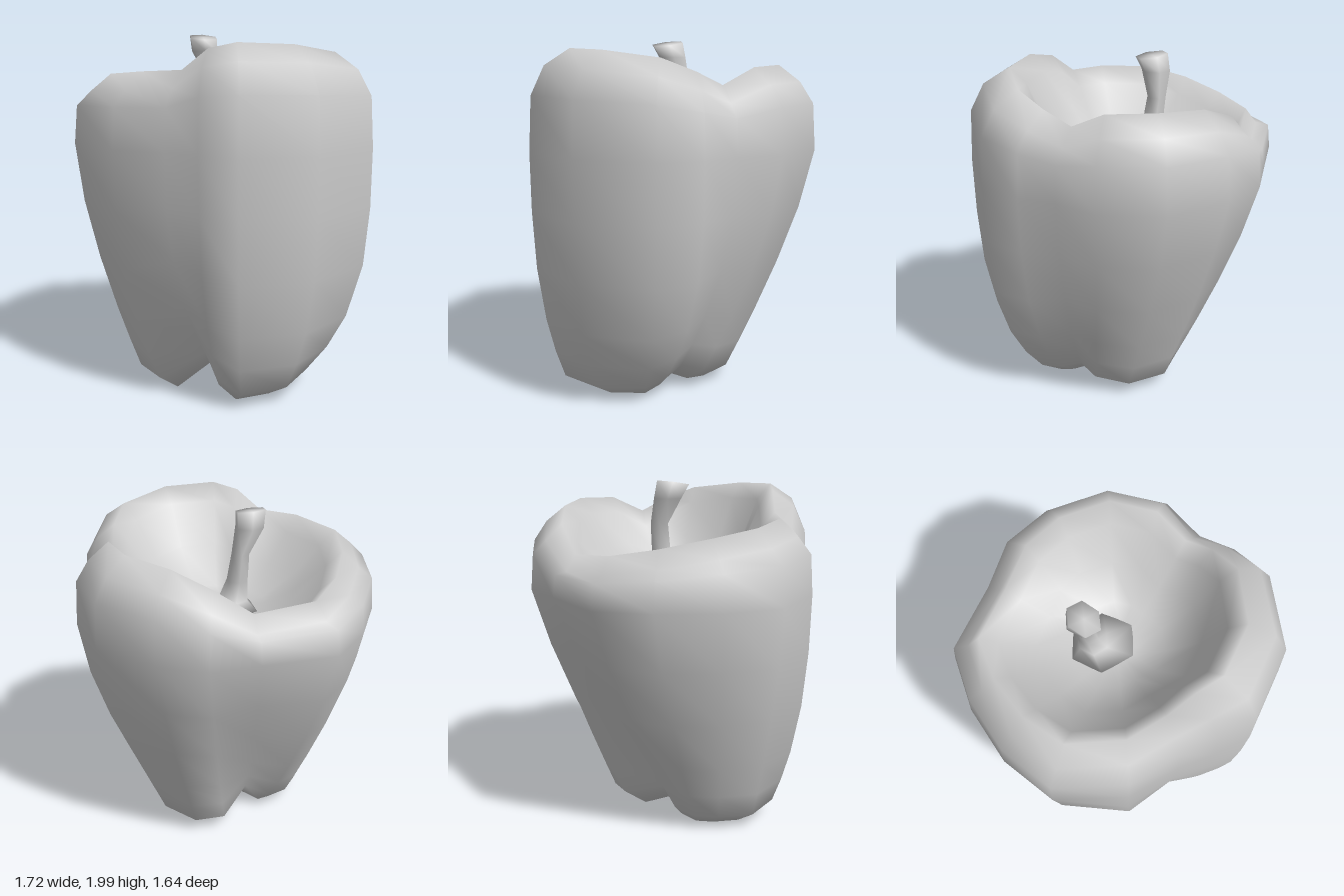
import * as THREE from 'three';

// Skin closed rings (ordered from the top centre outwards and down), one shared vertex grid.
function loft(name, rings) {
  const n = rings[0].length, index = [];
  for (let i = 0; i < rings.length - 1; i++) {
    for (let j = 0; j < n; j++) {
      const a = i * n + j, b = i * n + (j + 1) % n, c = a + n, d = b + n;
      index.push(a, b, c, b, d, c);
    }
  }
  // single pole vertices close both ends
  const mean = (ring) => [0, 1, 2].map((k) => ring.reduce((s, p) => s + p[k], 0) / n);
  const points = rings.flat();
  const top = points.push(mean(rings[0])) - 1;
  const bottom = points.push(mean(rings.at(-1))) - 1;
  const last = (rings.length - 1) * n;
  for (let j = 0; j < n; j++) {
    const k = (j + 1) % n;
    index.push(top, k, j, bottom, last + j, last + k);
  }
  const geometry = new THREE.BufferGeometry();
  geometry.setAttribute('position', new THREE.Float32BufferAttribute(points.flat(), 3));
  geometry.setIndex(index);
  geometry.computeVertexNormals();
  const mesh = new THREE.Mesh(geometry, new THREE.MeshStandardMaterial({ color: 0xcccccc, side: THREE.DoubleSide }));
  mesh.name = name;
  return mesh;
}

// Meridians round the fruit: widest x, z; foot x, z; rim height; belly fullness; foot lift
const meridians = [
  [0.86, 0.20, 0.52, 0.22, 1.90, 3.4, 0],
  [0.67, 0.60, 0.48, 0.48, 1.94, 3.3, 0],
  [0.32, 0.82, 0.28, 0.66, 1.95, 3.0, 0],
  [0.10, 0.80, 0.12, 0.60, 1.92, 2.8, 0.05],
  [-0.10, 0.76, 0.01, 0.49, 1.81, 2.5, 0.14], // front groove
  [-0.40, 0.75, -0.22, 0.60, 1.80, 2.5, 0],
  [-0.74, 0.55, -0.41, 0.46, 1.78, 1.5, 0],
  [-0.85, 0.24, -0.44, 0.26, 1.74, 1.35, 0],
  [-0.86, -0.10, -0.42, 0.12, 1.69, 1.3, 0],
  [-0.79, -0.41, -0.35, 0.01, 1.65, 1.25, 0.02],
  [-0.45, -0.64, -0.20, -0.04, 1.62, 1.25, 0.09], // back groove
  [-0.23, -0.79, -0.14, -0.29, 1.76, 1.2, 0.02],
  [0.05, -0.82, 0.02, -0.36, 1.84, 1.2, 0],
  [0.41, -0.74, 0.25, -0.29, 1.86, 1.3, 0],
  [0.65, -0.49, 0.38, -0.13, 1.85, 1.5, 0.03],
  [0.71, -0.24, 0.39, 0.00, 1.76, 1.9, 0.07], // side groove
  [0.81, -0.05, 0.47, 0.10, 1.83, 2.8, 0.03],
];

function createBody() {
  const ring = (rule) => meridians.map(rule);
  const rings = [];
  // sunken floor around the stem
  rings.push(ring(([x, z]) => [x * 0.12, 1.41, z * 0.12]));
  rings.push(ring(([x, z]) => [x * 0.3, 1.42, z * 0.3]));
  // hollow wall and rim, wider where the rim is low: scale, drop below the rim
  rings.push(ring(([x, z, , , rim]) => [x * 0.5, 1.52 + (rim - 1.75) * 0.5, z * 0.5]));
  for (const [s, drop] of [[0.62, 0.09], [0.72, 0]]) {
    rings.push(ring(([x, z, , , rim]) => {
      const k = s + (1.95 - rim) * 0.3;
      return [x * k, rim - drop, z * k];
    }));
  }
  // shoulder
  rings.push(ring(([x, z, , , rim]) => [x * 0.89, rim - 0.09, z * 0.89]));
  rings.push(ring(([x, z, , , rim]) => [x * 0.98, rim - (rim - 1.4) * 0.45, z * 0.98]));
  // flanks narrowing from the widest level to the feet
  for (const t of [1, 0.75, 0.5, 0.27, 0.12, 0]) {
    rings.push(ring(([x, z, fx, fz, , full, lift]) => {
      const f = 1 - (1 - t) ** full;
      return [fx + (x - fx) * f, 0.1 + lift * (1 - t) + 1.3 * t, fz + (z - fz) * f];
    }));
  }
  // rounded feet and the hollow between them
  const cz = 0.18;
  for (const [s, y, keep] of [[0.74, 0.01, 1], [0.4, 0.08, 0.6]]) {
    rings.push(ring(([, , fx, fz, , , lift]) => [fx * s, y + lift * keep, cz + (fz - cz) * s]));
  }
  rings.push(ring(([, , fx, fz]) => [fx * 0.12, 0.15, cz + (fz - cz) * 0.12]));
  return loft('body', rings);
}

function createStem() {
  // centre x, y, z and radius along x, z, from the cut end down to the flared base
  const sections = [
    [-0.185, 1.98, 0, 0.085, 0.1], [-0.19, 1.9, -0.03, 0.08, 0.085],
    [-0.155, 1.76, -0.075, 0.05, 0.055], [-0.135, 1.6, -0.065, 0.06, 0.06],
    [-0.11, 1.48, -0.06, 0.085, 0.085], [-0.06, 1.41, -0.05, 0.2, 0.18],
  ];
  const sides = 6;
  return loft('stem', sections.map(([x, y, z, rx, rz], i) => Array.from({ length: sides }, (_, j) => {
    const a = (j / sides) * Math.PI * 2;
    const tilt = i === 0 ? -0.012 * (Math.cos(a) + Math.sin(a)) : 0; // slanted cut
    return [x + rx * Math.cos(a), y + tilt, z + rz * Math.sin(a)];
  })));
}

export function createModel() {
  const group = new THREE.Group();
  group.name = 'bellPepper';
  group.add(createBody(), createStem());
  return group;
}
